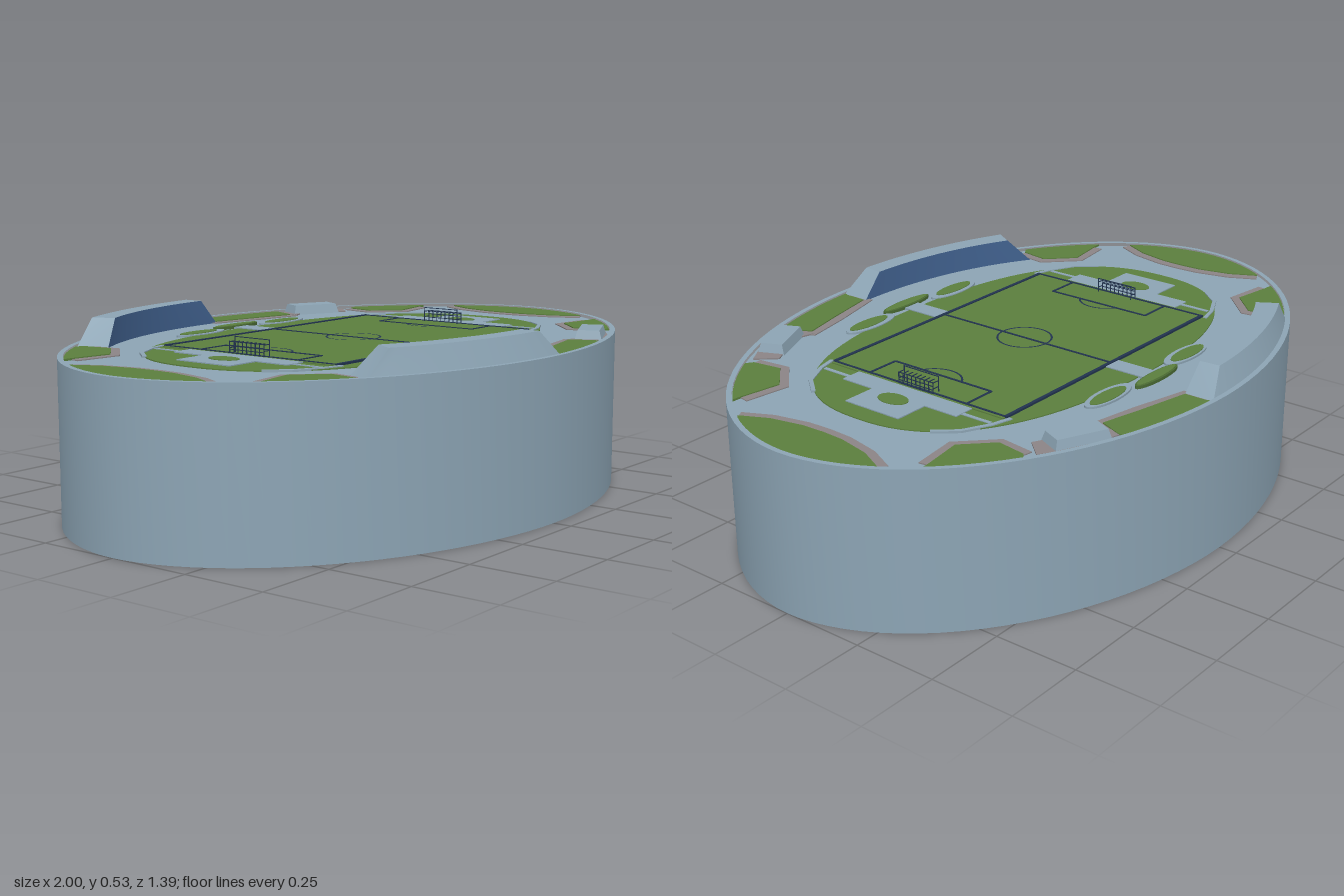
import * as THREE from 'three';
import { toCreasedNormals } from 'three/addons/utils/BufferGeometryUtils.js';

const flat = (name, color) => Object.assign(new THREE.MeshStandardMaterial({ color }), { name });
const RIM = 0.465, FLOOR = 0.455, P = 1.92;

// Point on a superellipse in the ground plane, as [x, z]
function oval(a, b, t, p = P) {
  const f = (v) => Math.sign(v) * Math.abs(v) ** (2 / p);
  return [a * f(Math.cos(t)), b * f(Math.sin(t))];
}
const ovalLoop = (a, b, p, n = 96) =>
  Array.from({ length: n }, (_, i) => oval(a, b, (i / n) * Math.PI * 2, p));
const ovalZ = (a, b, x, p = P) => b * (1 - Math.abs(x / a) ** p) ** (1 / p);
const toV2 = (pts) => pts.map(([x, z]) => new THREE.Vector2(x, -z));

// Horizontal slab from an outline in [x, z]
function slab(pts, y0, y1, hole) {
  const shape = new THREE.Shape(toV2(pts));
  if (hole) shape.holes.push(new THREE.Path(toV2(hole)));
  return new THREE.ExtrudeGeometry(shape, { depth: y1 - y0, bevelEnabled: false })
    .rotateX(-Math.PI / 2).translate(0, y0, 0);
}

// Outline of a band of half width w along a polyline
function band(pts, w) {
  const v = pts.map(([x, z]) => new THREE.Vector2(x, z));
  const left = [], right = [];
  v.forEach((q, i) => {
    const d0 = q.clone().sub(v[Math.max(i - 1, 0)]).normalize();
    const d1 = v[Math.min(i + 1, v.length - 1)].clone().sub(q).normalize();
    const d = d0.add(d1).normalize();
    left.push([q.x - d.y * w, q.y + d.x * w]);
    right.unshift([q.x + d.y * w, q.y - d.x * w]);
  });
  return [...left, ...right];
}

export function createModel() {
  const root = new THREE.Group();
  root.name = 'stadium';
  const stone = flat('blue grey stone', 0x8ca4b4);
  const grass = flat('grass green', 0x5b7f3d);
  const paving = flat('warm grey paving', 0x8b8486);
  const seats = flat('seat blue', 0x426391);
  const navy = flat('line navy', 0x22334f);
  const darkGrass = flat('hedge green', 0x4a6b33);

  const add = (name, geo, mat, parent = root) => {
    const m = new THREE.Mesh(geo, mat);
    m.name = name;
    parent.add(m);
    return m;
  };
  const rect = (x0, x1, z0, z1) => [[x0, z0], [x1, z0], [x1, z1], [x0, z1]];
  const box = (name, mat, x0, x1, y0, y1, z0, z1, parent) =>
    add(name, new THREE.BoxGeometry(x1 - x0, y1 - y0, z1 - z0)
      .translate((x0 + x1) / 2, (y0 + y1) / 2, (z0 + z1) / 2), mat, parent);

  // Outer wall with a raised lip, and the solid floor inside it
  add('outerWall', toCreasedNormals(slab(ovalLoop(1, 0.695, P), 0, RIM, ovalLoop(0.984, 0.679, P)), 0.6), stone);
  add('floor', slab(ovalLoop(0.985, 0.68, P), 0.01, FLOOR), stone);

  // Perimeter lawns: inner edge polyline closed by an arc along the wall
  const lawn = (edge) => {
    const ang = ([x, z]) => Math.atan2(z / 0.695, x);
    const t0 = ang(edge[edge.length - 1]);
    let dt = ang(edge[0]) - t0;
    if (dt > Math.PI) dt -= 2 * Math.PI;
    if (dt < -Math.PI) dt += 2 * Math.PI;
    const arc = Array.from({ length: 13 }, (_, i) => oval(0.982, 0.677, t0 + (dt * i) / 12));
    add('lawnPath', slab(band(edge, 0.028), FLOOR - 0.003, FLOOR + 0.003), paving);
    add('perimeterLawn', slab([...edge, ...arc], FLOOR - 0.003, FLOOR + 0.006), grass);
  };
  for (const s of [-1, 1]) {
    lawn([[0.9, -0.25], [0.86, -0.17], [0.838, -0.07], [0.835, 0], [0.838, 0.07], [0.86, 0.17], [0.9, 0.25]]
      .map(([x, z]) => [x * s, z]));
    for (const m of [-1, 1])
      lawn([[0.62, 0.485], [0.605, 0.395], [0.685, 0.315], [0.81, 0.335]].map(([x, z]) => [x * s, z * m]));
    lawn([[0.055, 0.66], [0.055, 0.595], [0.22, 0.56], [0.345, 0.53], [0.375, 0.6]].map(([x, z]) => [x, z * s]));
    add('pavilionYard', slab([[0.37, 0.605], [0.35, 0.515], [0.41, 0.53], [0.55, 0.455], [0.6, 0.51], [0.5, 0.575]]
      .map(([x, z]) => [x, z * s]), FLOOR - 0.003, FLOOR + 0.004), paving);
  }

  // Curved grandstands: four guide rows joined by strips, mirrored front to back
  const outer = (s, k) => {
    const x = -0.62 + 0.67 * s;
    return [x, -ovalZ(0.982, 0.683, x) * k];
  };
  const inner = (s) => {
    const x = -0.58 + 0.63 * s;
    return [x, -ovalZ(0.85, 0.592, x, 2)];
  };
  const N = 20;
  const row = (fn, y, inset) => Array.from({ length: N + 1 }, (_, i) => {
    const [x, z] = fn(inset + (1 - 2 * inset) * (i / N));
    return [x, y, z];
  });
  const ob = row((s) => outer(s, 1), FLOOR, 0), ot = row((s) => outer(s, 0.955), 0.532, 0.11);
  const it = row(inner, 0.532, 0.11), ib = row(inner, FLOOR, 0);
  const quads = (list, side) => {
    const pos = [];
    for (const [a, b, c, d] of list)
      for (const q of side < 0 ? [a, b, c, a, c, d] : [a, c, b, a, d, c]) pos.push(q[0], q[1], -side * q[2]);
    const g = new THREE.BufferGeometry();
    g.setAttribute('position', new THREE.Float32BufferAttribute(pos, 3));
    g.computeVertexNormals();
    return toCreasedNormals(g, 0.4);
  };
  const strip = (A, B) => A.slice(1).map((_, i) => [A[i], B[i], B[i + 1], A[i + 1]]);
  for (const side of [-1, 1]) {
    const stand = new THREE.Group();
    stand.name = side < 0 ? 'backGrandstand' : 'frontGrandstand';
    root.add(stand);
    const ends = [[ob[0], ib[0], it[0], ot[0]], [ob[N], ot[N], it[N], ib[N]]];
    add('standShell', quads([...strip(ob, ot), ...strip(ot, it), ...ends], side), stone, stand);
    add('seatingFace', quads(strip(it, ib), side), seats, stand);

    // Small pavilion with tapered ends
    const g = new THREE.BoxGeometry(0.165, 0.03, 0.08);
    const p = g.attributes.position;
    for (let i = 0; i < p.count; i++)
      if (p.getY(i) > 0) p.setXYZ(i, p.getX(i) * 0.9, 0.015, p.getZ(i) * 0.8);
    const flatG = g.toNonIndexed();
    flatG.computeVertexNormals();
    const hut = add('pavilion', flatG, stone);
    hut.position.set(0.465, 0.47, side * 0.535);
    hut.rotation.y = side * 0.43;
  }

  // Infield grass, centre walkways, hedges and leaf beds
  const G = FLOOR + 0.003, Y = FLOOR + 0.006, L = FLOOR + 0.008;
  add('infieldGrass', slab(ovalLoop(0.715, 0.425, 2.4), FLOOR - 0.003, G), grass);
  const disc = (name, x, z, a, b, y, mat) =>
    add(name, slab(ovalLoop(a, b, 2, 32).map(([u, v]) => [u + x, v + z]), FLOOR - 0.002, y), mat);
  for (const m of [-1, 1]) {
    add('walkway', slab(rect(-0.03, 0.03, m * 0.38 - 0.07, m * 0.38 + 0.07), FLOOR, Y), stone);
    disc('hedgeBorder', 0, m * 0.465, 0.1, 0.022, L + 0.001, darkGrass);
    disc('hedgeTop', 0, m * 0.465, 0.093, 0.017, L + 0.003, grass);
    for (const s of [-1, 1]) {
      disc('leafBedSurround', s * 0.19, m * 0.437, 0.1, 0.034, Y, stone);
      disc('leafBed', s * 0.195, m * 0.44, 0.078, 0.024, L, grass);
      // Curved path by each corner of the pitch
      const arc = [[0.66, 0.21], [0.61, 0.27], [0.53, 0.31], [0.47, 0.325]].map(([x, z]) => [x * s, z * m]);
      add('cornerPath', slab(band(arc, 0.006), FLOOR, Y), stone);
    }
  }

  // Paved court with a round bed behind each goal line
  for (const s of [-1, 1]) {
    const span = (a, b) => [Math.min(a * s, b * s), Math.max(a * s, b * s)];
    add('courtStrip', slab(rect(...span(0.485, 0.55), -0.205, 0.205), FLOOR, Y), stone);
    add('court', slab(rect(...span(0.54, 0.655), -0.095, 0.095), FLOOR, Y), stone);
    add('pitchEndPath', slab(rect(...span(0.518, 0.53), -0.3, 0.3), FLOOR, Y - 0.001), stone);
    disc('courtBed', s * 0.57, 0, 0.032, 0.048, L, grass);
  }

  // Pitch and its markings
  add('pitch', slab(rect(-0.485, 0.485, -0.31, 0.31), FLOOR, Y), grass);
  const line = (x0, x1, z0, z1) => box('pitchLine', navy, x0, x1, Y - 0.002, L, z0, z1);
  const ring = (x, start, len) => add('pitchArc', new THREE.RingGeometry(0.077, 0.083, 48, 1, start, len)
    .rotateX(-Math.PI / 2).translate(x, L, 0), navy);
  const w = 0.0035;
  line(-w, w, -0.31, 0.31);
  ring(0, 0, Math.PI * 2);
  for (const m of [-1, 1])
    box('touchlineBoard', navy, -0.475, 0.475, FLOOR, 0.464, m * 0.31 - 0.005, m * 0.31 + 0.005);
  for (const s of [-1, 1]) {
    line(s * 0.473 - w, s * 0.473 + w, -0.31, 0.31);
    line(s * 0.368 - w, s * 0.368 + w, -0.175, 0.175);
    for (const m of [-1, 1])
      line(s * 0.42 - 0.053, s * 0.42 + 0.053, m * 0.175 - w, m * 0.175 + w);
    ring(s * 0.407, s > 0 ? Math.PI - 1.06 : -1.06, 2.12);

    // Goal: front frame and a net of thin bars at the back, top and sides
    const goal = new THREE.Group();
    goal.name = s > 0 ? 'leftGoal' : 'rightGoal';
    root.add(goal);
    const r = 0.0011, top = 0.505, xf = s * 0.455, xb = s * 0.478;
    const bar = (name, x0, x1, y0, y1, z0, z1) =>
      box(name, navy, Math.min(x0, x1) - r, Math.max(x0, x1) + r, y0 - r, y1 + r, z0 - r, z1 + r, goal);
    for (let i = 0; i <= 8; i++) {
      const z = -0.062 + 0.0155 * i;
      bar('netUpright', xb, xb, Y, top - 0.012, z, z);
      bar('netTop', xf, xb, top - 0.012, top - 0.012, z, z);
    }
    for (let j = 0; j <= 3; j++) bar('netRow', xb, xb, Y + 0.011 * j, Y + 0.011 * j, -0.062, 0.062);
    for (const z of [-0.062, 0.062]) {
      bar('goalPost', xf, xf, Y, top, z, z);
      bar('netSide', xf, xb, Y + 0.015, Y + 0.015, z, z);
    }
    bar('crossbar', xf, xf, top, top, -0.062, 0.062);
  }
  return root;
}
